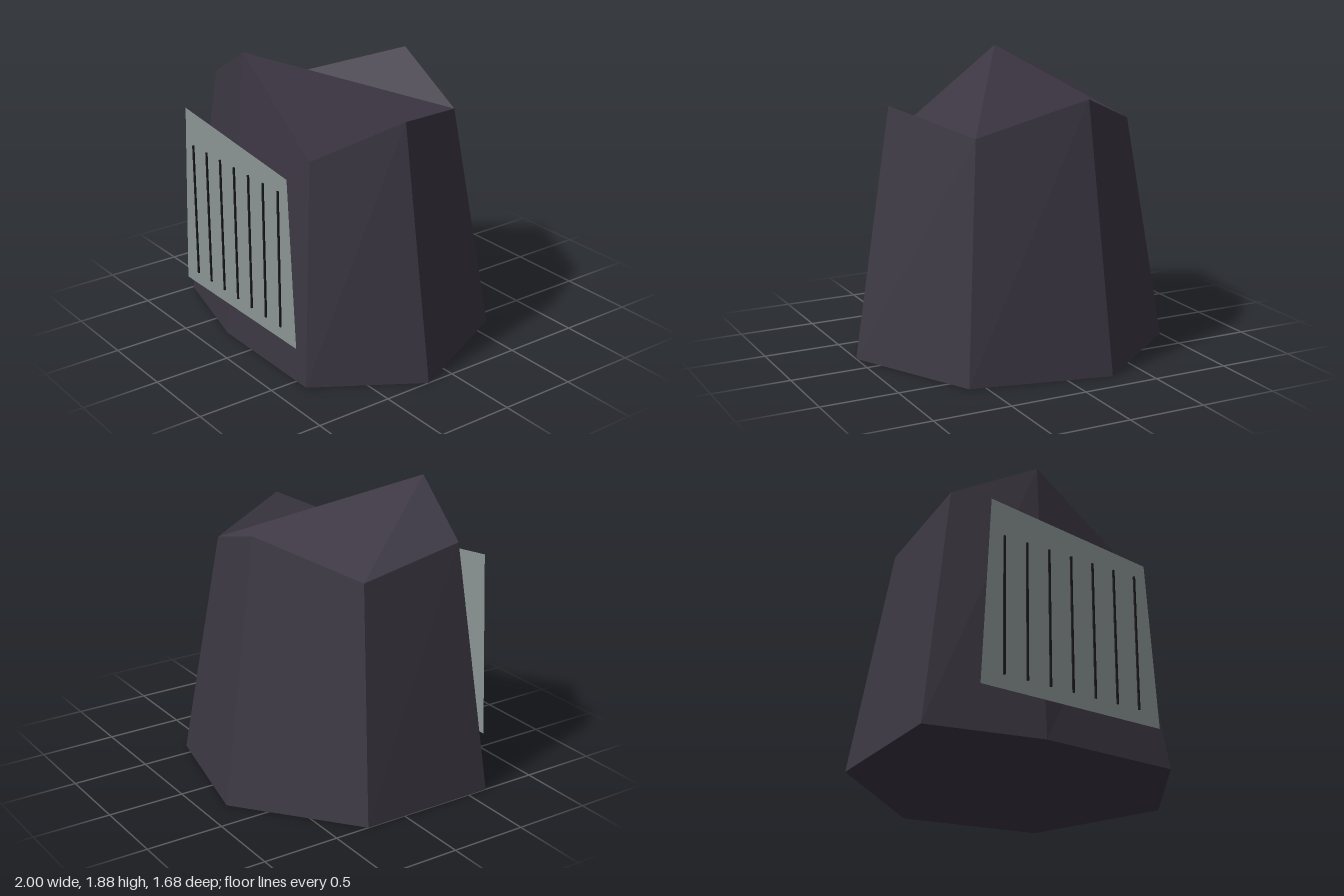
import * as THREE from 'three';

// Plan corners counter-clockwise from above: base x, z, then top x, y, z
const corners = [
  [-1, -0.27, -0.775, 1.47, -0.165],
  [-1, 0.64, -0.775, 1.6, 0.53],
  [-0.285, 0.815, -0.235, 1.88, 0.665],
  [0.6, 0.815, 0.45, 1.38, 0.665],
  [1, 0.185, 0.745, 1.61, 0.185],
  [0.6, -0.64, 0.45, 1.48, -0.44],
  [-0.285, -0.84, -0.235, 1.69, -0.595],
];

function facetedBlock() {
  const n = corners.length;
  const low = corners.map(([x, z]) => [x, 0, z]);
  const high = corners.map(([, , x, y, z]) => [x, y, z]);
  const pos = [];
  const tri = (a, b, c) => pos.push(...a, ...b, ...c);
  // Tapering walls
  for (let i = 0; i < n; i++) {
    const j = (i + 1) % n;
    tri(low[i], low[j], high[j]);
    tri(low[i], high[j], high[i]);
  }
  // Broken, uneven top
  for (const [a, b, c] of [[0, 1, 2], [0, 2, 5], [0, 5, 6], [2, 3, 5], [3, 4, 5]]) {
    tri(high[a], high[b], high[c]);
  }
  // Flat underside
  for (let i = 1; i < n - 1; i++) tri(low[0], low[i + 1], low[i]);
  const geo = new THREE.BufferGeometry();
  geo.setAttribute('position', new THREE.Float32BufferAttribute(pos, 3));
  geo.computeVertexNormals();
  return geo;
}

export function createModel() {
  const group = new THREE.Group();
  const add = (name, geo, mat, parent = group) => {
    const mesh = new THREE.Mesh(geo, mat);
    mesh.name = name;
    parent.add(mesh);
    return mesh;
  };

  const stone = new THREE.MeshStandardMaterial({ color: 0x3b3642, flatShading: true });
  add('rockBody', facetedBlock(), stone);

  // Thin front plate with a sloping top edge
  const outline = new THREE.Shape([
    new THREE.Vector2(-0.735, 0.235),
    new THREE.Vector2(0.52, 0.235),
    new THREE.Vector2(0.45, 1.31),
    new THREE.Vector2(-0.67, 1.44),
  ]);
  const plate = new THREE.MeshStandardMaterial({ color: 0x8a9494, side: THREE.DoubleSide });
  add('frontPlate', new THREE.ShapeGeometry(outline), plate).position.z = 0.828;

  // Row of narrow upright bars on the plate
  const bars = new THREE.Group();
  bars.name = 'plateBars';
  group.add(bars);
  const dark = new THREE.MeshStandardMaterial({ color: 0x1c1a1e });
  const barGeo = new THREE.BoxGeometry(0.012, 0.89, 0.01);
  for (let i = 0; i < 7; i++) {
    add('bar', barGeo, dark, bars).position.set(-0.583 + i * 0.158, 0.767, 0.835);
  }
  return group;
}
